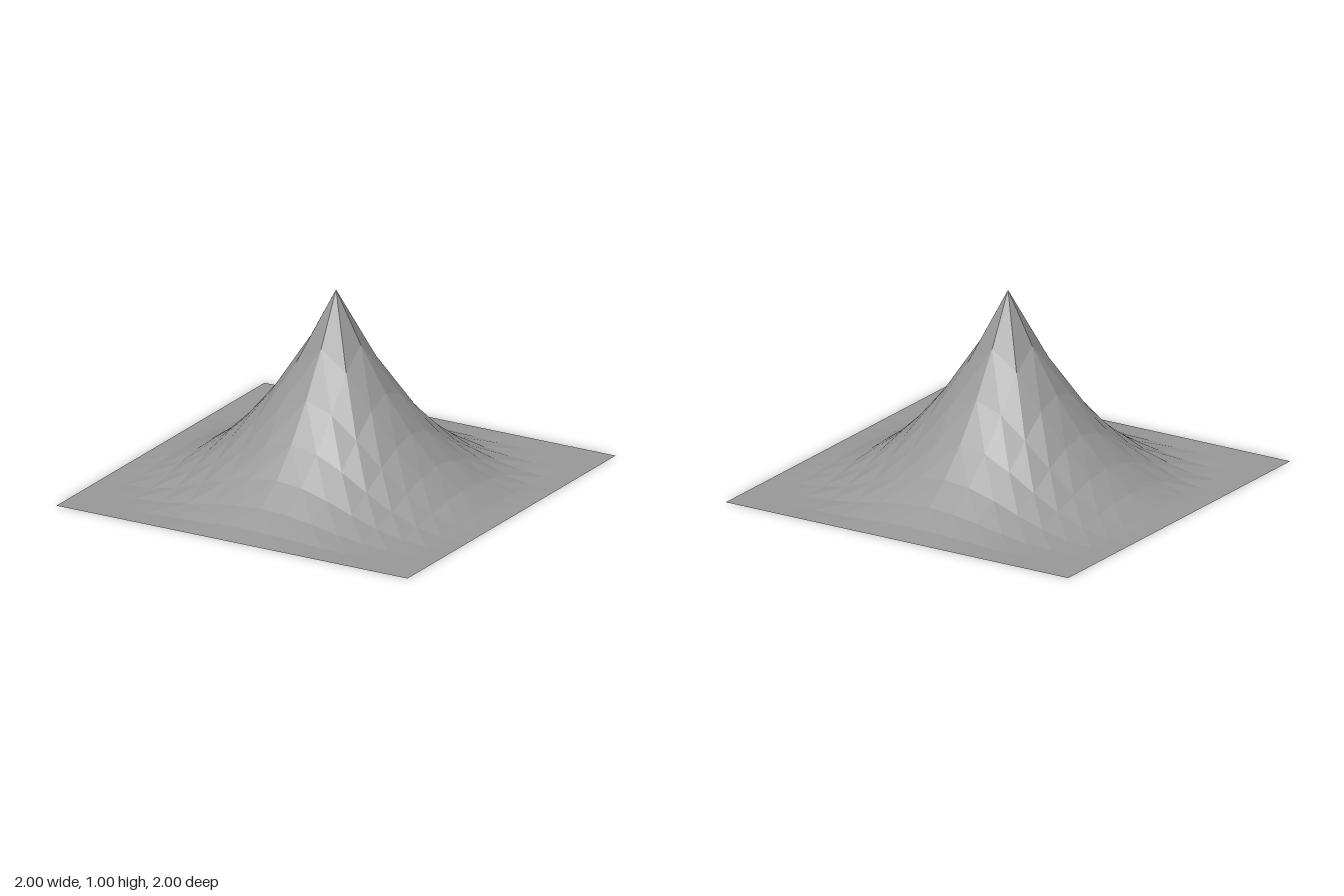
import * as THREE from 'three';

const CELLS = 14;

// Radial falloff: a sharp peak easing out to a flat rim
const heightAt = (x, z) => Math.max(0, 1 - Math.hypot(x, z)) ** 2;

export function createModel() {
  const group = new THREE.Group();
  group.name = 'peakedSurface';

  const geometry = new THREE.PlaneGeometry(2, 2, CELLS, CELLS).rotateX(-Math.PI / 2);
  const position = geometry.attributes.position;
  for (let i = 0; i < position.count; i++) {
    position.setY(i, heightAt(position.getX(i), position.getZ(i)));
  }

  // Split every cell along the diagonal that points towards the peak
  const index = [];
  const half = CELLS / 2;
  for (let row = 0; row < CELLS; row++) {
    for (let col = 0; col < CELLS; col++) {
      const a = row * (CELLS + 1) + col;
      const b = a + CELLS + 1;
      const c = b + 1;
      const d = a + 1;
      if ((row < half) === (col < half)) index.push(a, b, c, a, c, d);
      else index.push(a, b, d, b, c, d);
    }
  }
  geometry.setIndex(index);
  geometry.computeVertexNormals();

  // Open sheet in mid grey, visible from above and below
  const sheet = new THREE.Mesh(
    geometry,
    new THREE.MeshStandardMaterial({ color: 0x999999, flatShading: true, side: THREE.DoubleSide })
  );
  sheet.name = 'peakSheet';
  group.add(sheet);
  return group;
}
